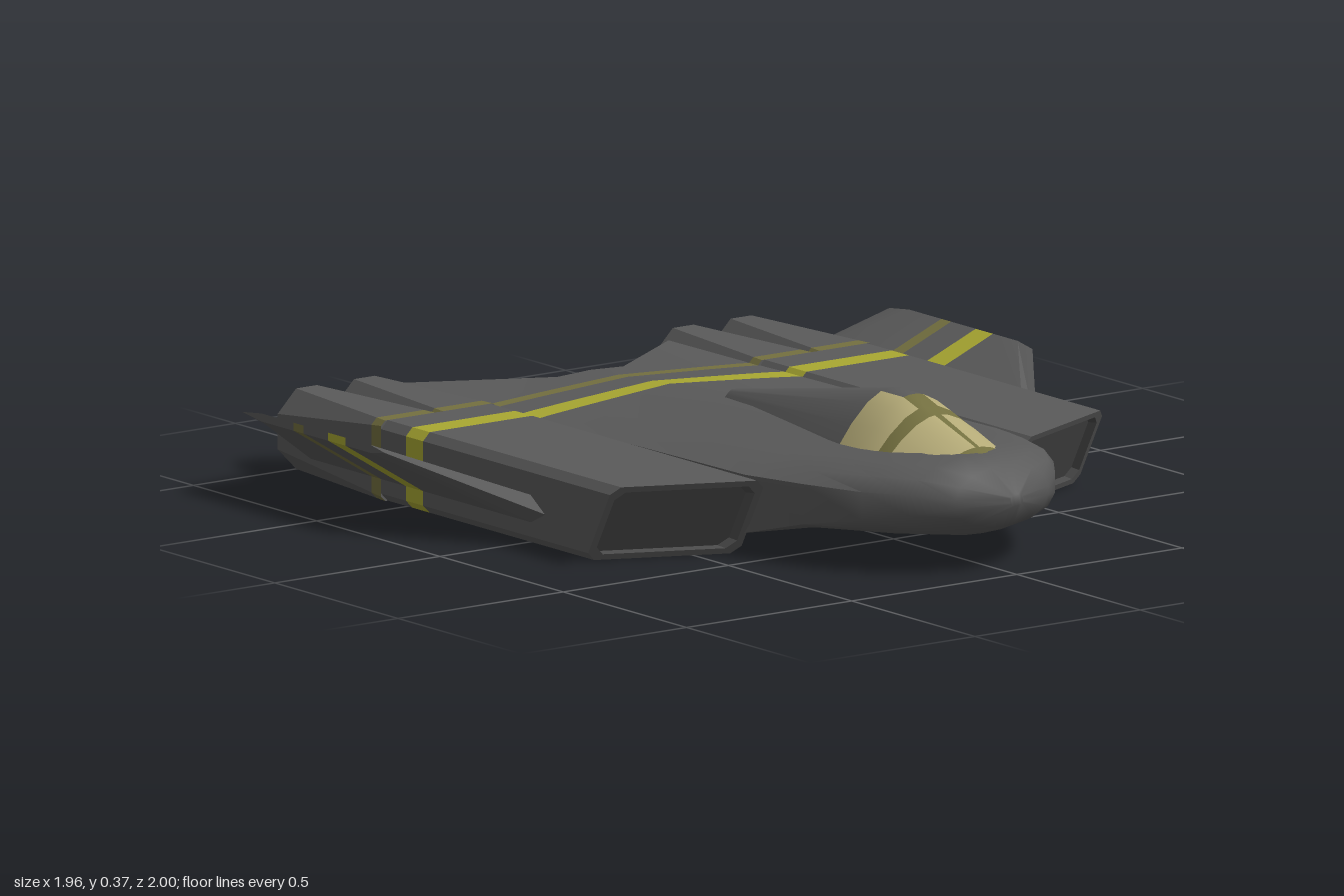
import * as THREE from 'three';
import { toCreasedNormals } from 'three/addons/utils/BufferGeometryUtils.js';

const paint = (name, color) => {
  const m = new THREE.MeshStandardMaterial({ color });
  m.name = name;
  return m;
};

// Skins a row of closed rings; pick(i, j) gives the material of each patch.
// Rings run along the top, then back along the bottom, so ends close in strips.
function loft(name, rings, pick, crease = 0.6) {
  const n = rings[0].length, last = rings.length - 1;
  const buckets = new Map();
  const V = (p) => new THREE.Vector3(...p);
  const tri = (m, a, b, c) => {
    const area = V(b).sub(V(a)).cross(V(c).sub(V(a))).length();
    if (area < 1e-8) return;
    if (!buckets.has(m)) buckets.set(m, []);
    buckets.get(m).push([a, b, c]);
  };
  const quad = (m, a, b, c, d) => { tri(m, a, b, c); tri(m, a, c, d); };
  for (let i = 0; i < last; i++) {
    for (let j = 0; j < n; j++) {
      const k = (j + 1) % n;
      quad(pick(i, j), rings[i][j], rings[i][k], rings[i + 1][k], rings[i + 1][j]);
    }
  }
  for (let j = 0; j < Math.floor(n / 2) - 1; j++) {
    const a = rings[0], b = rings[last], p = n - 1 - j;
    quad(pick(-1, j), a[j], a[p], a[p - 1], a[j + 1]);
    quad(pick(last, j), b[j], b[j + 1], b[p - 1], b[p]);
  }
  // Turn all faces outward by the sign of the enclosed volume
  let volume = 0;
  for (const list of buckets.values()) {
    for (const [a, b, c] of list) volume += V(a).dot(V(b).cross(V(c)));
  }
  const pos = [], mats = [];
  const geo = new THREE.BufferGeometry();
  for (const [m, list] of buckets) {
    geo.addGroup(pos.length / 3, list.length * 3, mats.length);
    mats.push(m);
    for (const [a, b, c] of list) pos.push(...a, ...(volume > 0 ? b : c), ...(volume > 0 ? c : b));
  }
  geo.setAttribute('position', new THREE.Float32BufferAttribute(pos, 3));
  const mesh = new THREE.Mesh(toCreasedNormals(geo, crease), mats);
  mesh.name = name;
  return mesh;
}

// Rectangle with cut corners, as eight [x, y] points
const cutBox = (x0, x1, y0, y1, c) => [
  [x0, y1 - c], [x0 + c, y1], [x1 - c, y1], [x1, y1 - c],
  [x1, y0 + c], [x1 - c, y0], [x0 + c, y0], [x0, y0 + c]];

export function createModel() {
  const hull = paint('hull grey', 0x5a5a5a);
  const yellow = paint('stripe yellow', 0xa9a832);
  const olive = paint('faded olive', 0x747040);
  const glass = paint('canopy glass', 0xb5ab78);
  const intake = paint('intake grey', 0x4c4c4c);
  const red = paint('nozzle red', 0x7d2a12);
  const flame = paint('nozzle yellow', 0xd0b434);
  const core = paint('nozzle core', 0x9c9064);

  const ship = new THREE.Group();
  ship.name = 'spacecraft';

  // Fuselage: z, half width, top centre, top side, bottom side, bottom centre, roundness
  const body = [
    [1, 0.02, 0.2, 0.19, 0.18, 0.17, 1],
    [0.94, 0.14, 0.26, 0.19, 0.17, 0.11, 1],
    [0.86, 0.22, 0.28, 0.2, 0.15, 0.078, 1],
    [0.76, 0.29, 0.28, 0.2, 0.13, 0.07, 1],
    [0.6, 0.35, 0.275, 0.2, 0.1, 0.068, 0.8],
    [0.43, 0.4, 0.27, 0.2, 0.055, 0.072, 0.4],
    [0, 0.4, 0.255, 0.195, 0.05, 0.08, 0.15],
    [-0.41, 0.4, 0.225, 0.19, 0.06, 0.105, 0.1],
    [-0.48, 0.4, 0.22, 0.19, 0.065, 0.115, 0.1],
    [-0.58, 0.4, 0.212, 0.188, 0.08, 0.135, 0.1],
    [-0.62, 0.4, 0.21, 0.187, 0.09, 0.145, 0.1],
    [-0.73, 0.4, 0.203, 0.185, 0.13, 0.175, 0]];
  const across = [-1, -0.9, -0.65, -0.25, 0, 0.25, 0.65, 0.9, 1];
  const bodyRings = body.map(([z, w, tc, ts, bs, bc, r], i) => {
    const line = (side, mid) => across.map((f) => {
      const a = Math.abs(f);
      const h = THREE.MathUtils.lerp(1 - a, Math.sqrt(1 - a * a), r);
      // The tail edge sweeps back towards the engines
      const sweep = i === body.length - 1 ? Math.max(0, a * w - 0.1) * 0.73 : 0;
      return [f * w, side + (mid - side) * h, z - sweep];
    });
    return [...line(ts, tc), ...line(bs, bc).reverse()];
  });
  ship.add(loft('fuselage', bodyRings, (i) => (i === 7 ? yellow : i === 9 ? olive : hull), 0.8));

  // Canopy and its tapering rear fairing: z, half width, base, top
  const hood = [
    [0.87, 0.06, 0.26, 0.277], [0.84, 0.095, 0.26, 0.288], [0.68, 0.155, 0.25, 0.34],
    [0.64, 0.162, 0.25, 0.355], [0.58, 0.167, 0.25, 0.374], [0.49, 0.167, 0.24, 0.374],
    [-0.15, 0.03, 0.235, 0.258]];
  const hoodX = [1, 0.72, 0.43, 0.18, 0.06], hoodY = [0, 0.45, 0.8, 0.97, 1];
  const hoodRings = hood.map(([z, w, b, t]) => {
    const half = (s) => hoodX.map((f, k) => [s * f * w, b + (t - b) * hoodY[k], z]);
    return [...half(-1), ...half(1).reverse()];
  });
  ship.add(loft('canopy', hoodRings, (i, j) => {
    const top = j >= 3 && j <= 5;
    if (i >= 5) return hull;
    if (i <= 0 || i === 2) return olive;
    if (i === 1) return j === 4 ? olive : glass;
    return top ? (i === 3 ? olive : hull) : glass;
  }));

  for (const s of [1, -1]) {
    const side = new THREE.Group();
    side.name = s > 0 ? 'leftSide' : 'rightSide';
    ship.add(side);
    const flip = (ring) => ring.map(([x, y, z]) => [s * x, y, z]);

    // Engine pod with a raked, recessed intake
    const rake = (x, y) => 0.51 - (x - 0.4) * 0.44 - (0.2 - y) * 0.55;
    const front = (inset, depth) => cutBox(0.395 + inset, 0.745 - inset, inset, 0.2 - inset, 0.02)
      .map(([x, y]) => [x, y, rake(x, y) - depth]);
    const flat = (z) => cutBox(0.395, 0.745, 0, 0.2, 0.02).map(([x, y]) => [x, y, z]);
    const podRings = [front(0.018, 0.03), front(0.015, 0), front(0, 0),
      flat(-0.41), flat(-0.48), flat(-0.58)].map(flip);
    side.add(loft('enginePod', podRings, (i) => (i <= 0 ? intake : i === 3 ? yellow : hull), 0.4));

    // Twin exhaust tubes, from half of the pod to an octagon, with glowing ends
    for (const x0 of [0.395, 0.57]) {
      const cx = x0 + 0.0875;
      const tube = (z) => cutBox(x0, x0 + 0.175, 0, 0.2,
        THREE.MathUtils.mapLinear(z, -0.58, -1, 0.012, 0.056)).map(([x, y]) => [x, y, z]);
      const disc = (k, z) => tube(-1).map(([x, y]) => [cx + (x - cx) * k, 0.1 + (y - 0.1) * k, z]);
      const tubeRings = [tube(-0.58), tube(-0.62), tube(-1),
        disc(0.85, -1), disc(0.7, -0.992), disc(0.36, -0.988)].map(flip);
      const skin = [olive, hull, hull, red, flame, core];
      side.add(loft('exhaustTube', tubeRings, (i) => skin[i] ?? hull, 0.4));
    }

    // Upswept wing: x, leading z, trailing z, top, bottom, edge heights
    const wingRings = [
      [0.735, 0.1, -0.95, 0.12, 0.05, 0.08, 0.09],
      [0.98, -0.25, -0.83, 0.22, 0.2, 0.21, 0.21]].map(([x, le, te, top, bottom, yl, yt]) => {
      const zs = [le, le - 0.06, -0.41, -0.48, -0.58, -0.62, te + 0.08, te];
      const line = (y) => zs.map((z, k) => [x, k === 0 ? yl : k === 7 ? yt : y, z]);
      return flip([...line(top), ...line(bottom).reverse()]);
    });
    side.add(loft('wing', wingRings, (i, j) => {
      const band = j < 8 ? j : 14 - j;
      return band === 2 ? yellow : band === 4 ? olive : hull;
    }, 0.4));
  }
  return ship;
}
